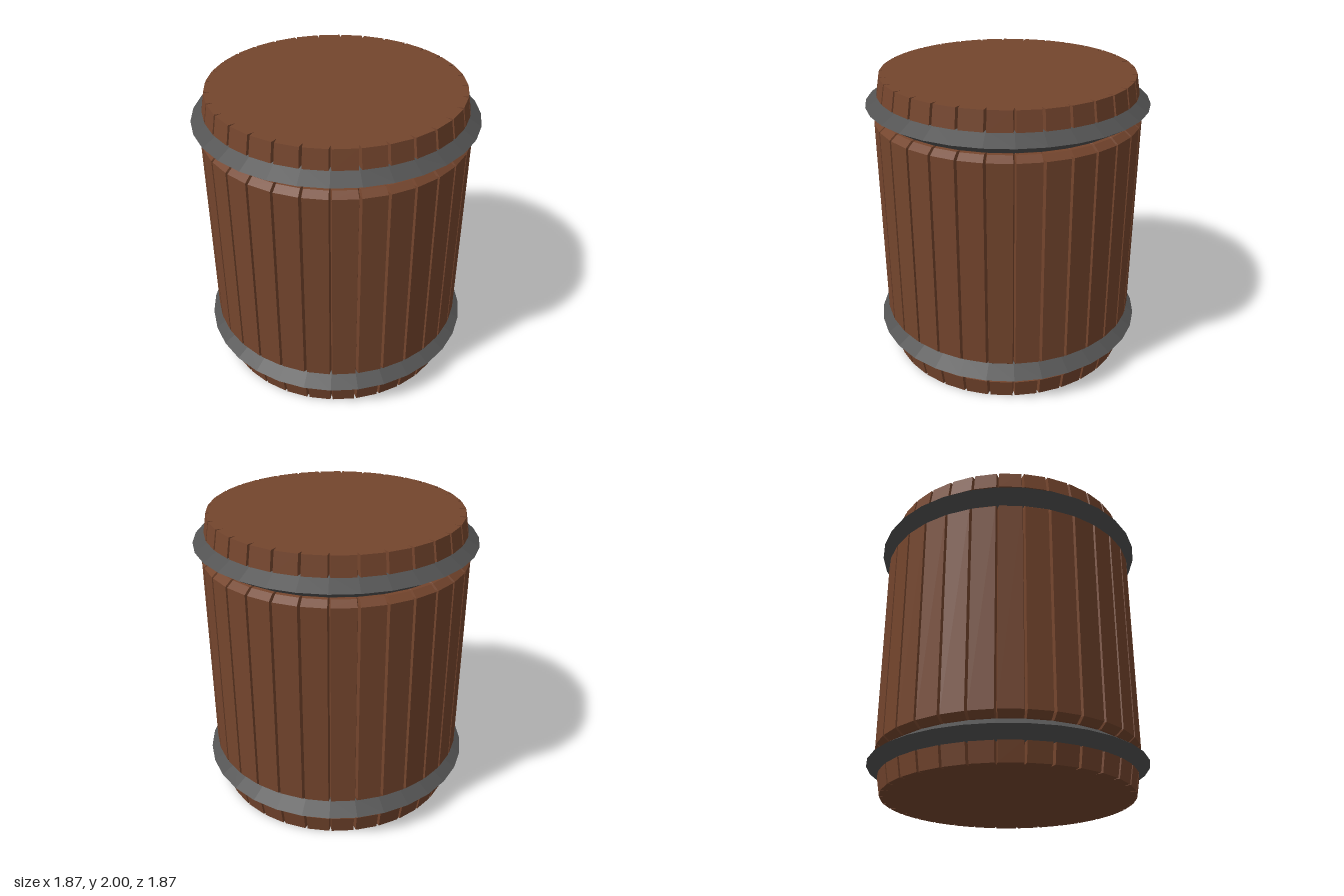
import * as THREE from 'three';

const STAVES = 32;
const START = THREE.MathUtils.degToRad(-4); // angle of the first groove from +z
const GAP = THREE.MathUtils.degToRad(0.6);  // half the groove width
const GROOVE = 0.045;

// Outer radius and height of the staves from bottom to top
const half = [[0.838, 0], [0.86, 0.125], [0.82, 0.13], [0.82, 0.262], [0.842, 0.265], [0.886, 0.3]];
const profile = [...half, ...half.map(([r, y]) => [r, 2 - y]).reverse()];

// One horizontal section: flat staves separated by V grooves
function section(r, y) {
  const points = [];
  const at = (radius, a) => points.push(new THREE.Vector3(radius * Math.sin(a), y, radius * Math.cos(a)));
  for (let i = 0; i < STAVES; i++) {
    const a = START + (i / STAVES) * Math.PI * 2;
    at(r, a - GAP);
    at(r - GROOVE, a);
    at(r, a + GAP);
  }
  return points;
}

// Skin the sections and close both ends
function staveGeometry() {
  const rings = profile.map(([r, y]) => section(r, y));
  const n = STAVES * 3;
  const triangles = [];
  for (let k = 0; k < rings.length - 1; k++) {
    for (let i = 0; i < n; i++) {
      const j = (i + 1) % n;
      const [a, b, c, d] = [rings[k][i], rings[k][j], rings[k + 1][j], rings[k + 1][i]];
      triangles.push(a, b, c, a, c, d);
    }
  }
  const bottom = rings[0], top = rings[rings.length - 1];
  const low = new THREE.Vector3(0, 0, 0), high = new THREE.Vector3(0, 2, 0);
  for (let i = 0; i < n; i++) {
    const j = (i + 1) % n;
    triangles.push(low, bottom[j], bottom[i], high, top[i], top[j]);
  }
  const geometry = new THREE.BufferGeometry().setFromPoints(triangles);
  geometry.computeVertexNormals();
  return geometry;
}

export function createModel() {
  const group = new THREE.Group();
  group.name = 'barrel';
  const wood = new THREE.MeshStandardMaterial({ color: 0x74452d, flatShading: true });
  const iron = new THREE.MeshStandardMaterial({ color: 0x525252, flatShading: true });

  const staves = new THREE.Mesh(staveGeometry(), wood);
  staves.name = 'staves';
  group.add(staves);

  // Hoops with a pointed outer edge
  const hoopProfile = [[0.8, -0.068], [0.825, -0.068], [0.936, 0], [0.825, 0.068], [0.8, 0.068], [0.8, -0.068]]
    .map(([r, y]) => new THREE.Vector2(r, y));
  const hoopGeometry = new THREE.LatheGeometry(hoopProfile, STAVES, START);
  for (const [name, y] of [['lowerHoop', 0.197], ['upperHoop', 1.809]]) {
    const hoop = new THREE.Mesh(hoopGeometry, iron);
    hoop.name = name;
    hoop.position.y = y;
    group.add(hoop);
  }
  return group;
}
